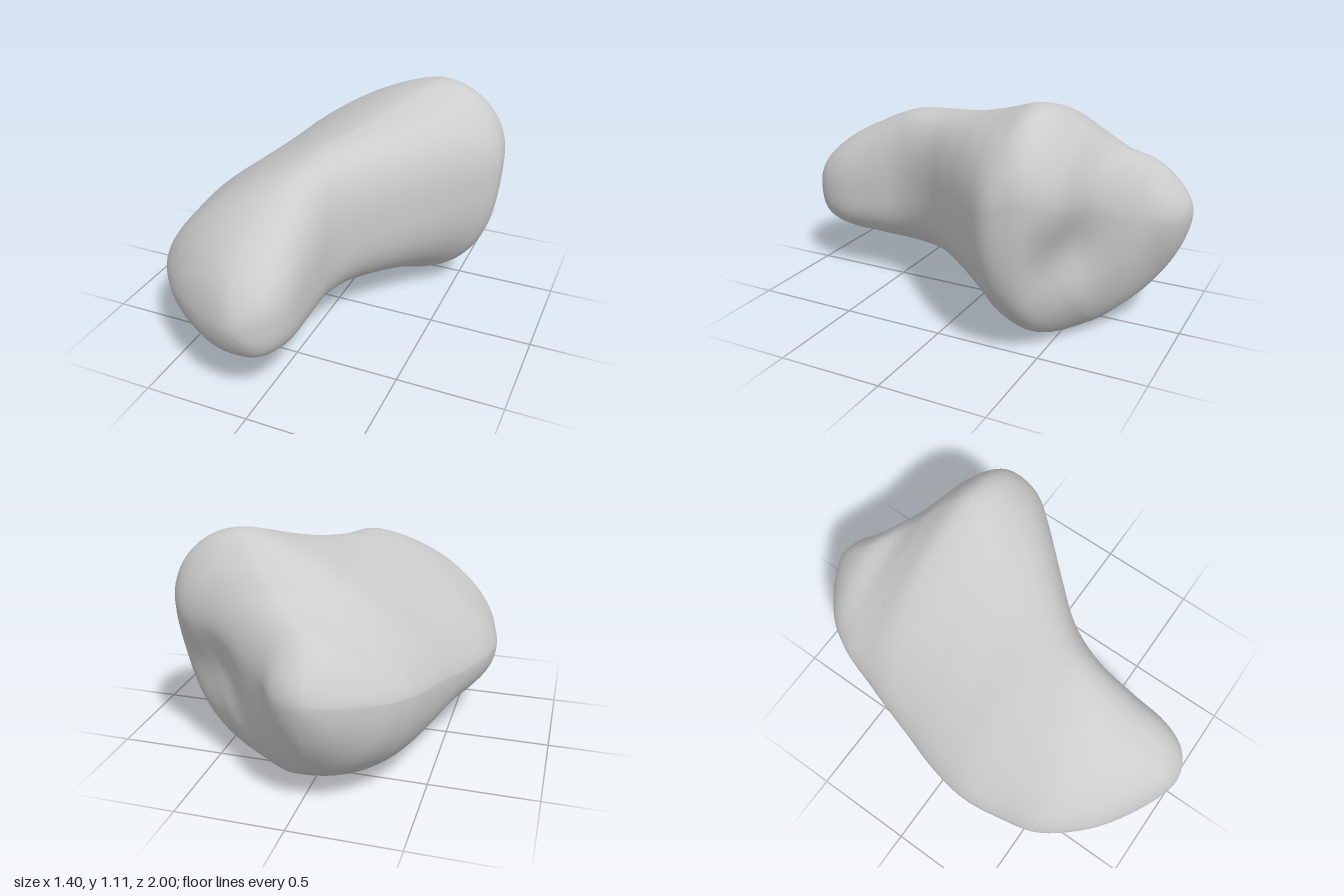
import * as THREE from 'three';
import { mergeVertices } from 'three/addons/utils/BufferGeometryUtils.js';

// Cross-sections from the narrow front to the back:
// z, xMin, xMax, yMin, yMax, x of top, x of bottom, y of left side, y of right side
const SECTIONS = [
  [1.0, -0.05, -0.05, 0.44, 0.44, -0.05, -0.05, 0.44, 0.44],
  [0.94, -0.23, 0.08, 0.28, 0.6, -0.07, -0.08, 0.42, 0.45],
  [0.8, -0.45, 0.14, 0.215, 0.725, -0.08, -0.16, 0.41, 0.45],
  [0.6, -0.62, 0.147, 0.185, 0.83, -0.07, -0.26, 0.4, 0.47],
  [0.4, -0.675, 0.16, 0.16, 0.91, -0.03, -0.34, 0.4, 0.52],
  [0.2, -0.7, 0.25, 0.15, 0.935, 0.0, -0.33, 0.41, 0.58],
  [0.0, -0.67, 0.42, 0.142, 0.97, 0.1, -0.18, 0.42, 0.62],
  [-0.2, -0.61, 0.6, 0.11, 1.03, 0.21, 0.0, 0.44, 0.67],
  [-0.32, -0.575, 0.69, 0.055, 1.075, 0.29, 0.07, 0.46, 0.7],
  [-0.42, -0.545, 0.7, 0.015, 1.107, 0.35, 0.11, 0.48, 0.74],
  [-0.51, -0.515, 0.675, 0.0, 1.09, 0.33, 0.12, 0.49, 0.76],
  [-0.61, -0.485, 0.59, 0.03, 1.0, 0.25, 0.1, 0.5, 0.73],
  [-0.7, -0.45, 0.39, 0.085, 0.9, 0.13, 0.05, 0.52, 0.68],
  [-0.83, -0.365, 0.17, 0.2, 0.81, -0.02, -0.04, 0.54, 0.6],
  [-0.95, -0.21, 0.06, 0.385, 0.69, -0.07, -0.06, 0.56, 0.57],
  [-1.0, -0.07, -0.07, 0.57, 0.57, -0.07, -0.07, 0.57, 0.57],
];

const RINGS_PER_SECTION = 6;
const SIDES = 96;

// Mirrored neighbour past a tip, so the ends close as round domes
const mirrored = ([z, x0, x1, y0, y1, xt, xb, yl, yr]) => [z, x1, x0, y1, y0, xb, xt, yr, yl];

function catmullRom(a, b, c, d, t) {
  return 0.5 * (2 * b + (c - a) * t + (2 * a - 5 * b + 4 * c - d) * t * t
    + (3 * b - a - 3 * c + d) * t * t * t);
}

// Fullness of each quarter arc, changing from the front (z high) to the back
function fullness(right, upper, z) {
  const ramp = (from, to) => THREE.MathUtils.smoothstep(-z, from, to);
  if (upper) return right ? 2.5 - 0.5 * ramp(0.1, 0.4) : 1.62 - 0.2 * ramp(-0.7, -0.25);
  return right ? 2.8 - 0.35 * ramp(-0.5, 0.2) - 0.85 * ramp(0.4, 0.62) : 2.2;
}

// Point on a lopsided rounded outline made of four quarter arcs
function outlinePoint([z, x0, x1, y0, y1, xt, xb, yl, yr], angle) {
  const c = Math.cos(angle), s = Math.sin(angle);
  const power = fullness(c >= 0, s >= 0, z);
  const u = Math.abs(c) ** (2 / power), v = Math.abs(s) ** (2 / power);
  const midX = s >= 0 ? xt : xb, midY = c >= 0 ? yr : yl;
  return new THREE.Vector3(
    midX + ((c >= 0 ? x1 : x0) - midX) * u,
    midY + ((s >= 0 ? y1 : y0) - midY) * v,
    z,
  );
}

// Shallow hollow in the flattened rear face
const hollowCentre = new THREE.Vector3(0.45, 0.5, -0.57);
const hollowPush = new THREE.Vector3(-0.045, 0.01, 0.065);
function addHollow(p) {
  const fall = Math.exp(-p.distanceToSquared(hollowCentre) / (0.18 * 0.18));
  return p.addScaledVector(hollowPush, fall);
}

function bodyGeometry() {
  const last = SECTIONS.length - 1;
  const rows = [mirrored(SECTIONS[1]), ...SECTIONS, mirrored(SECTIONS[last - 1])];
  const ringCount = last * RINGS_PER_SECTION;
  const positions = [], index = [];

  for (let i = 0; i <= ringCount; i++) {
    const k = Math.min(Math.floor(i / RINGS_PER_SECTION), last - 1);
    const t = i / RINGS_PER_SECTION - k;
    const [a, b, c, d] = rows.slice(k, k + 4);
    const section = b.map((_, n) => catmullRom(a[n], b[n], c[n], d[n], t));
    for (let j = 0; j < SIDES; j++) {
      const p = addHollow(outlinePoint(section, (j / SIDES) * Math.PI * 2));
      positions.push(p.x, p.y, p.z);
    }
  }
  for (let i = 0; i < ringCount; i++) {
    for (let j = 0; j < SIDES; j++) {
      const p = i * SIDES + j, q = i * SIDES + ((j + 1) % SIDES);
      index.push(p, p + SIDES, q, q, p + SIDES, q + SIDES);
    }
  }
  const geometry = new THREE.BufferGeometry();
  geometry.setAttribute('position', new THREE.Float32BufferAttribute(positions, 3));
  geometry.setIndex(index);
  const merged = mergeVertices(geometry, 1e-5);
  merged.computeVertexNormals();
  return merged;
}

export function createModel() {
  const stone = new THREE.MeshStandardMaterial({ color: 0xcccccc });
  stone.name = 'stoneGrey';
  const body = new THREE.Mesh(bodyGeometry(), stone);
  body.name = 'stoneBody';
  const group = new THREE.Group();
  group.name = 'pebble';
  group.add(body);
  return group;
}
